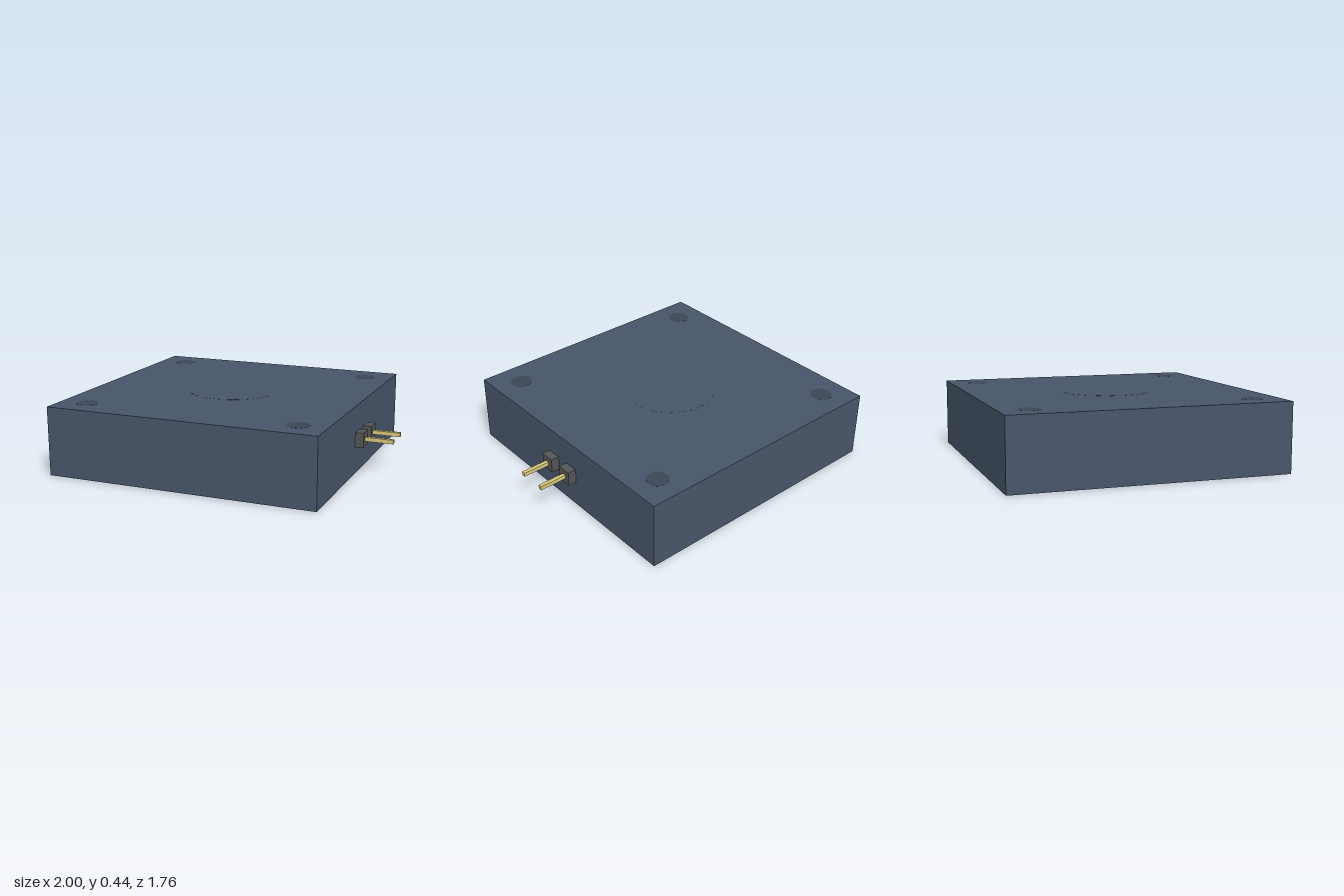
import * as THREE from 'three';

const paint = (color) => new THREE.MeshStandardMaterial({ color });

export function createModel() {
  const model = new THREE.Group();
  const slate = paint(0x475569);
  const plastic = paint(0x555555);
  const gold = paint(0xd8c878);
  const dark = paint(0x3b4656);

  const add = (parent, name, geometry, material, x, y, z) => {
    const mesh = new THREE.Mesh(geometry, material);
    mesh.name = name;
    mesh.position.set(x, y, z);
    parent.add(mesh);
  };

  // Main housing block
  const size = 1.765, height = 0.444;
  const cx = -1 + size / 2, cy = height / 2;
  add(model, 'body', new THREE.BoxGeometry(size, height, size), slate, cx, cy, 0);

  // Mounting posts through the corners and a central core, all nearly flush
  const flush = height + 0.001;
  const inset = size / 2 - 0.18;
  const post = new THREE.CylinderGeometry(0.07, 0.07, flush, 24);
  for (const sx of [-1, 1]) {
    for (const sz of [-1, 1]) {
      add(model, 'cornerPost', post, dark, cx + sx * inset, cy, sz * inset);
    }
  }
  add(model, 'core', new THREE.CylinderGeometry(0.3, 0.3, flush, 48), slate, cx, cy, 0);

  // Two header pins on the side, each in a square plastic collar
  for (const side of [-1, 1]) {
    const pin = new THREE.Group();
    pin.name = 'headerPin';
    pin.position.set(0, 0.225, side * 0.089);
    add(pin, 'collar', new THREE.BoxGeometry(0.055, 0.095, 0.095), plastic, 0.7925, 0, 0);
    add(pin, 'contact', new THREE.BoxGeometry(0.2, 0.026, 0.026), gold, 0.9, 0, 0);
    model.add(pin);
  }

  return model;
}
